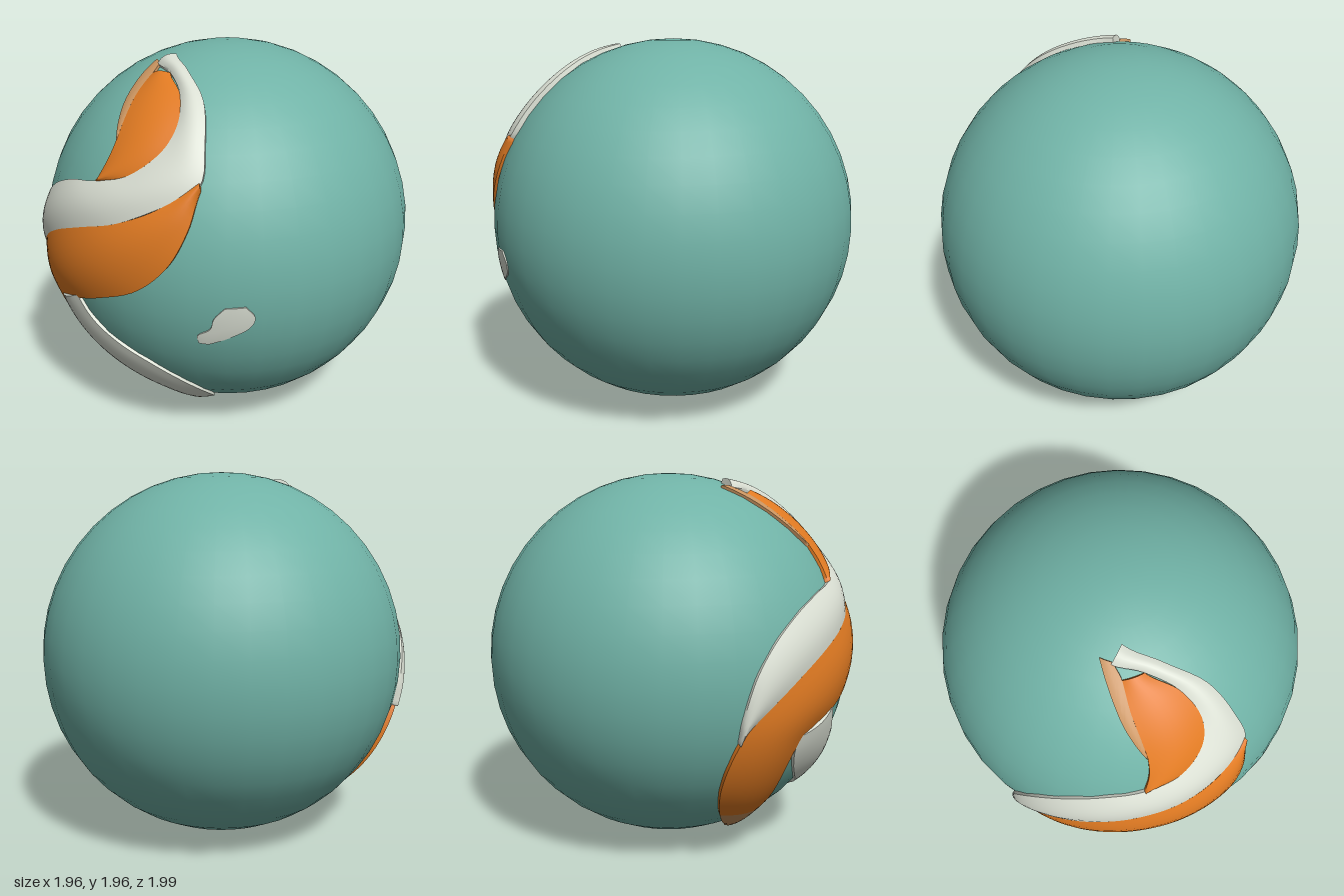
import * as THREE from 'three';
import { toCreasedNormals } from 'three/addons/utils/BufferGeometryUtils.js';

const R = 0.98;
const CENTRE = new THREE.Vector3(0, 0.98, -0.02);

function material(name, color) {
  const m = new THREE.MeshStandardMaterial({ color });
  m.name = name;
  return m;
}

// Direction from the ball's centre to the front point that has this x and y.
function direction(x, y) {
  const dy = y - CENTRE.y;
  const z = Math.sqrt(Math.max(0.002, 0.99 * 0.99 - x * x - dy * dy));
  return new THREE.Vector3(x, dy, z).normalize();
}

// Padded band wrapped on the ball. Each row is [ax, ay, bx, by]: the two edges of the band.
// liftA and liftB raise the edges, swell raises the middle; t0..t1 is the stretch to build.
function band(name, mat, rows, { liftA = 0.012, liftB = 0.012, swell = 0.018, t0 = 0, t1 = 1, steps = 40 } = {}) {
  const curve = k => new THREE.CatmullRomCurve3(
    rows.map(r => new THREE.Vector3(r[k], r[k + 1], 0)), false, 'centripetal');
  const a = curve(0), b = curve(2);
  const across = 8, nu = across + 2, nt = steps + 2;
  const positions = [], index = [];
  for (let i = 0; i <= nt; i++) {
    const t = t0 + (t1 - t0) * THREE.MathUtils.clamp((i - 1) / steps, 0, 1);
    const pa = a.getPoint(t), pb = b.getPoint(t);
    for (let j = 0; j <= nu; j++) {
      const u = THREE.MathUtils.clamp((j - 1) / across, 0, 1);
      const p = pa.clone().lerp(pb, u);
      const skirt = i === 0 || i === nt || j === 0 || j === nu;
      const r = skirt ? 0.95 : R + liftA + (liftB - liftA) * u + swell * Math.sin(Math.PI * u);
      positions.push(...direction(p.x, p.y).multiplyScalar(r).add(CENTRE).toArray());
      if (i < nt && j < nu) {
        const q = i * (nu + 1) + j, d = q + nu + 1;
        index.push(q, d, q + 1, q + 1, d, d + 1);
      }
    }
  }
  const geo = new THREE.BufferGeometry();
  geo.setAttribute('position', new THREE.Float32BufferAttribute(positions, 3));
  geo.setIndex(index);
  const mesh = new THREE.Mesh(toCreasedNormals(geo, 0.8), mat);
  mesh.name = name;
  return mesh;
}

export function createModel() {
  const teal = material('teal', 0x70b2a6);
  const orange = material('orange', 0xe07a22);
  const white = material('offWhite', 0xd9ded2);
  const tan = material('tan', 0xc8935f);
  const model = new THREE.Group();
  model.name = 'ball';

  // Ball
  const ball = new THREE.Mesh(new THREE.SphereGeometry(R, 36, 24), teal);
  ball.name = 'ballBody';
  ball.position.copy(CENTRE);
  model.add(ball);

  // White band: from the top tip, round the right bend, across to the left
  const whiteRows = [
    [-0.05, 1.88, 0.0, 1.915],
    [0.1, 1.86, 0.18, 1.87],
    [0.26, 1.79, 0.38, 1.77],
    [0.36, 1.68, 0.51, 1.62],
    [0.37, 1.58, 0.58, 1.45],
    [0.28, 1.47, 0.48, 1.36],
    [0.1, 1.41, 0.3, 1.26],
    [-0.1, 1.37, 0.08, 1.19],
    [-0.3, 1.29, -0.14, 1.11],
    [-0.46, 1.17, -0.33, 1.01],
    [-0.56, 1.02, -0.48, 0.89],
    [-0.6, 0.84, -0.57, 0.78],
    [-0.595, 0.72, -0.59, 0.71],
  ];
  model.add(band('upperWhiteBand', white, whiteRows, { liftB: 0.022, steps: 60 }));

  // Orange band: from the right bend, across to the left, then down to its tan tip
  const orangeRows = [
    [0.575, 1.47, 0.59, 1.44],
    [0.48, 1.36, 0.6, 1.27],
    [0.3, 1.26, 0.55, 1.1],
    [0.08, 1.19, 0.42, 0.96],
    [-0.14, 1.11, 0.2, 0.86],
    [-0.33, 1.01, 0.0, 0.785],
    [-0.48, 0.89, -0.17, 0.73],
    [-0.57, 0.78, -0.25, 0.66],
    [-0.595, 0.63, -0.26, 0.55],
    [-0.56, 0.47, -0.23, 0.43],
    [-0.47, 0.33, -0.17, 0.31],
    [-0.35, 0.22, -0.1, 0.2],
    [-0.18, 0.12, 0.0, 0.08],
  ];
  model.add(band('orangeBand', orange, orangeRows, { liftA: 0.022, t1: 0.87, steps: 60 }));
  model.add(band('orangeBandTip', tan, orangeRows, { liftA: 0.022, t0: 0.87, steps: 8 }));

  // Lower white band, tucked under the orange one, with a tan tip
  const lowerRows = [
    [-0.27, 0.69, 0.0, 0.8],
    [-0.25, 0.6, 0.08, 0.69],
    [-0.18, 0.5, 0.22, 0.59],
    [-0.05, 0.4, 0.36, 0.5],
    [0.1, 0.32, 0.44, 0.39],
    [0.2, 0.26, 0.455, 0.28],
    [0.23, 0.19, 0.4, 0.18],
    [0.19, 0.09, 0.24, 0.09],
  ];
  model.add(band('lowerWhiteBand', white, lowerRows, { t1: 0.86 }));
  model.add(band('lowerWhiteBandTip', tan, lowerRows, { t0: 0.86, steps: 8 }));

  // Orange patch inside the top bend, with a tan strip along its left edge
  const patchRows = [
    [0.0, 1.85, 0.1, 1.86],
    [0.03, 1.78, 0.26, 1.79],
    [0.07, 1.7, 0.36, 1.68],
    [0.11, 1.6, 0.37, 1.58],
    [0.12, 1.51, 0.28, 1.47],
    [0.1, 1.41, 0.11, 1.41],
  ];
  model.add(band('topOrangePatch', orange, patchRows, { swell: 0.012 }));
  const stripRows = [
    [-0.1, 1.89, -0.04, 1.885],
    [-0.05, 1.81, 0.0, 1.85],
    [0.0, 1.73, 0.035, 1.77],
    [0.06, 1.65, 0.08, 1.68],
    [0.11, 1.59, 0.115, 1.59],
  ];
  model.add(band('topTanStrip', tan, stripRows, { swell: 0.003 }));

  // Pale spot on the left side of the ball
  const spotRows = [
    [0.75, 0.91, 0.81, 0.915],
    [0.71, 0.85, 0.83, 0.86],
    [0.69, 0.79, 0.81, 0.8],
    [0.64, 0.75, 0.74, 0.74],
    [0.635, 0.705, 0.67, 0.7],
  ];
  model.add(band('paleSpot', white, spotRows, { liftA: 0.002, liftB: 0.002, swell: 0.001, steps: 16 }));

  return model;
}
